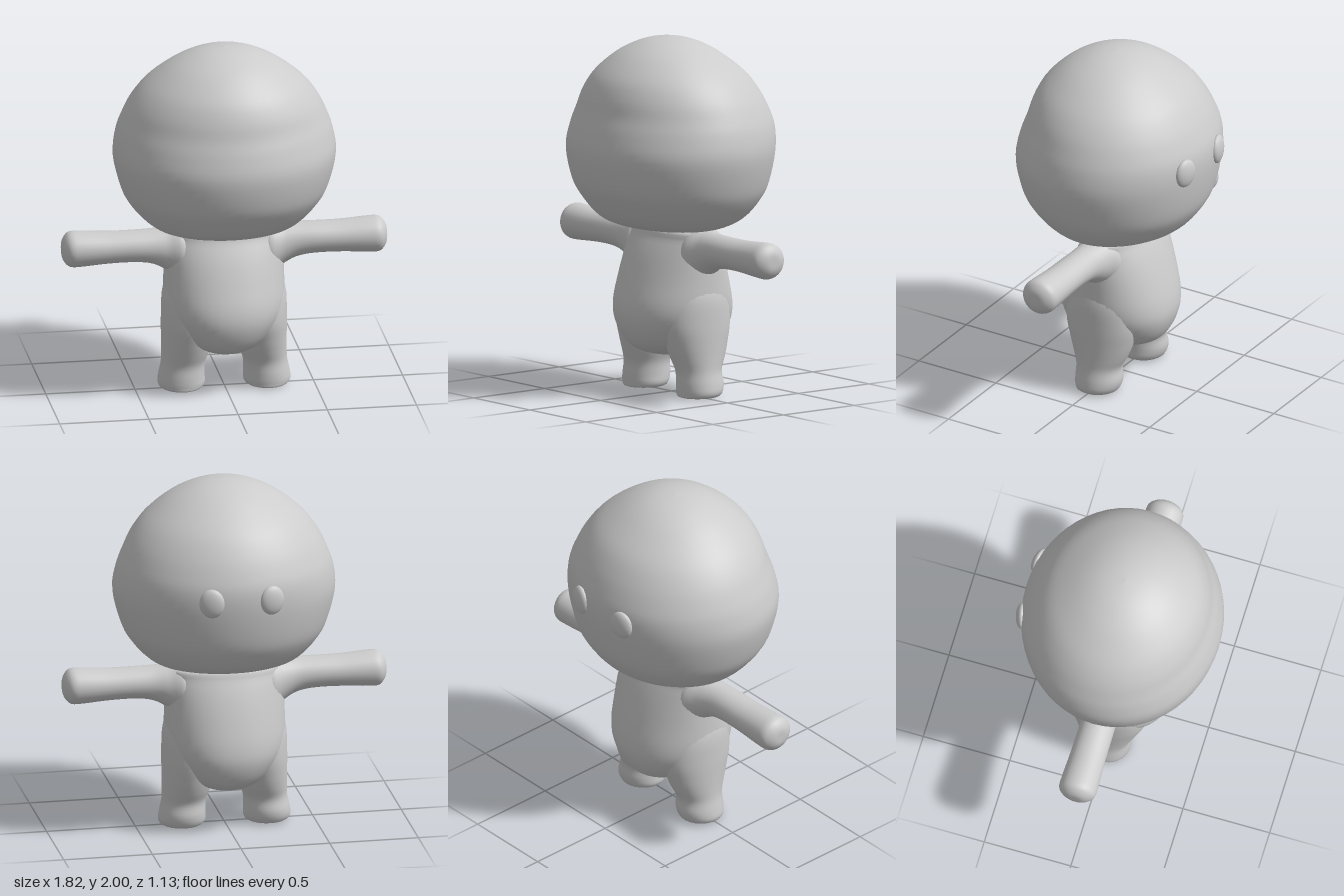
import * as THREE from 'three';

const material = new THREE.MeshStandardMaterial({ color: 0xcccccc });

// Smooth closed surface through elliptical sections [y, centreX, centreZ, radiusX, radiusZ]
function loft(name, rows, power = 2, sides = 40, steps = 4) {
  const tracks = rows[0].map((_, k) =>
    new THREE.SplineCurve(rows.map((row, i) => new THREE.Vector2(i, row[k]))));
  const rings = (rows.length - 1) * steps;
  const positions = [], index = [];
  const bend = v => Math.sign(v) * Math.abs(v) ** (2 / power);
  for (let i = 0; i <= rings; i++) {
    const [y, cx, cz, rx, rz] = tracks.map(track => track.getPoint(i / rings).y);
    for (let j = 0; j < sides; j++) {
      const a = j / sides * Math.PI * 2;
      positions.push(cx + bend(Math.cos(a)) * Math.max(rx, 0), y, cz + bend(Math.sin(a)) * Math.max(rz, 0));
      if (i === rings) continue;
      const p = i * sides + j, q = i * sides + (j + 1) % sides;
      index.push(p, p + sides, q, q, p + sides, q + sides);
    }
  }
  const geometry = new THREE.BufferGeometry();
  geometry.setAttribute('position', new THREE.Float32BufferAttribute(positions, 3));
  geometry.setIndex(index);
  geometry.computeVertexNormals();
  const mesh = new THREE.Mesh(geometry, material);
  mesh.name = name;
  return mesh;
}

export function createModel() {
  const model = new THREE.Group();
  model.name = 'bigHeadedFigure';

  // Large round head, flattened underneath
  model.add(loft('head', [
    [0.925, 0, 0, 0, 0], [0.93, 0, 0, 0.2, 0.14], [0.95, 0, 0.01, 0.35, 0.27],
    [1.0, 0, 0, 0.44, 0.39], [1.1, 0, 0, 0.53, 0.475], [1.2, 0, 0.005, 0.58, 0.525],
    [1.37, 0, 0.005, 0.62, 0.555], [1.5, 0, -0.008, 0.605, 0.543], [1.6, 0, -0.01, 0.57, 0.51],
    [1.7, 0, 0, 0.52, 0.47], [1.8, 0, 0.01, 0.44, 0.405], [1.9, 0, 0.02, 0.315, 0.29],
    [1.96, 0, 0.02, 0.2, 0.185], [1.99, 0, 0.02, 0.1, 0.09], [2, 0, 0.02, 0, 0],
  ], 2, 56));

  // Pear-shaped torso with a full belly and back
  model.add(loft('torso', [
    [0.215, 0, -0.01, 0, 0], [0.225, 0, -0.01, 0.09, 0.12], [0.26, 0, -0.01, 0.17, 0.225],
    [0.32, 0, -0.01, 0.245, 0.285], [0.42, 0, -0.01, 0.31, 0.32], [0.52, 0, -0.01, 0.335, 0.315],
    [0.65, 0, -0.015, 0.335, 0.275], [0.78, 0, -0.02, 0.33, 0.225], [0.88, 0, -0.025, 0.32, 0.175],
    [0.935, 0, -0.025, 0.29, 0.14], [0.945, 0, -0.025, 0, 0],
  ], 2.15));

  for (const s of [1, -1]) {
    const side = s > 0 ? 'left' : 'right';

    // Leg with a soft foot, running up into the hip
    model.add(loft(side + 'Leg', [
      [0.003, 0.24, 0, 0, 0], [0.006, 0.24, 0, 0.1, 0.105], [0.03, 0.24, -0.008, 0.13, 0.127],
      [0.08, 0.238, -0.013, 0.129, 0.135], [0.15, 0.23, -0.01, 0.123, 0.132],
      [0.22, 0.217, -0.013, 0.133, 0.16], [0.3, 0.208, -0.013, 0.142, 0.188],
      [0.42, 0.2, -0.01, 0.15, 0.215], [0.58, 0.19, -0.01, 0.15, 0.2], [0.72, 0.18, -0.01, 0.1, 0.12],
      [0.78, 0.18, -0.01, 0, 0],
    ].map(([y, cx, ...rest]) => [y, cx * s, ...rest])));

    // Outstretched arm: lofted along y, then laid along x; centreX acts as a drop
    const arm = loft(side + 'Arm', [
      [0.15, 0.06, -0.02, 0, 0], [0.22, 0.05, -0.02, 0.155, 0.14], [0.32, 0.025, -0.015, 0.125, 0.115],
      [0.4, 0.007, -0.008, 0.1, 0.1], [0.5, 0, -0.005, 0.09, 0.098], [0.65, 0, -0.005, 0.09, 0.1],
      [0.8, 0, -0.005, 0.1, 0.106], [0.86, 0, -0.005, 0.1, 0.104], [0.89, 0, -0.005, 0.08, 0.082],
      [0.908, 0, -0.005, 0.045, 0.045], [0.91, 0, -0.005, 0, 0],
    ].map(([y, cx, ...rest]) => [y, cx * s, ...rest]), 2, 28);
    arm.rotation.z = -s * Math.PI / 2;
    arm.position.y = 0.845;
    model.add(arm);

    // Oval eye set into the face on the -z side
    const eye = new THREE.Mesh(new THREE.SphereGeometry(1, 28, 18), material);
    eye.name = side + 'Eye';
    eye.scale.set(0.07, 0.083, 0.032);
    eye.position.set(0.17 * s, 1.455, -0.53);
    eye.rotation.y = -0.24 * s;
    model.add(eye);
  }
  return model;
}
